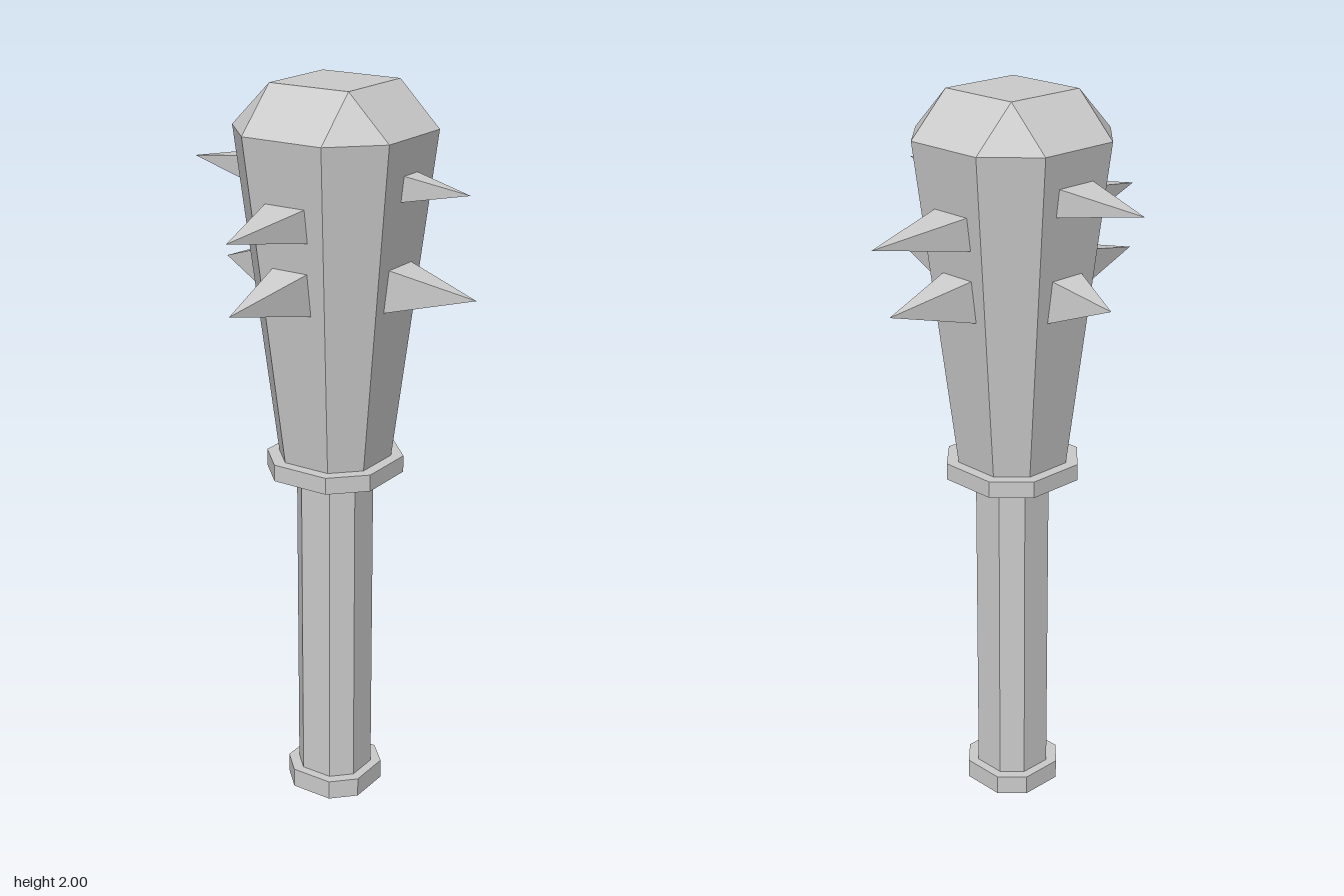
import * as THREE from 'three';

const material = new THREE.MeshStandardMaterial({ color: 0xcccccc, flatShading: true });

// Square with chamfered corners: half width h, half length c of each straight side
function ring([y, h, c]) {
  return [[c, h], [h, c], [h, -c], [c, -h], [-c, -h], [-h, -c], [-h, c], [-c, h]]
    .map(([x, z]) => new THREE.Vector3(x, y, z));
}

// Closed, flat-shaded solid lofted through rings from bottom to top
function loft(name, sections) {
  const rings = sections.map(ring);
  const pos = [];
  const tri = (a, b, c) => {
    if (new THREE.Triangle(a, b, c).getArea() > 1e-7) {
      for (const p of [a, b, c]) pos.push(p.x, p.y, p.z);
    }
  };
  for (let r = 0; r < rings.length - 1; r++) {
    const lo = rings[r], hi = rings[r + 1];
    for (let i = 0; i < 8; i++) {
      const j = (i + 1) % 8;
      tri(lo[i], lo[j], hi[j]);
      tri(lo[i], hi[j], hi[i]);
    }
  }
  const bottom = rings[0], top = rings[rings.length - 1];
  for (let i = 1; i < 7; i++) {
    tri(bottom[0], bottom[i + 1], bottom[i]);
    tri(top[0], top[i], top[i + 1]);
  }
  const geo = new THREE.BufferGeometry();
  geo.setAttribute('position', new THREE.Float32BufferAttribute(pos, 3));
  geo.computeVertexNormals();
  const mesh = new THREE.Mesh(geo, material);
  mesh.name = name;
  return mesh;
}

// Four-sided spike pointing along +z, turned about y; its root is sunk in the head
function spike(name, angle, y, tip, halfW, halfH) {
  const surface = 0.135 + (y - 1) * 0.113;
  const root = surface - 0.03;
  const grow = (tip - root) / (tip - surface);
  const geo = new THREE.ConeGeometry(Math.SQRT2, 1, 4, 1).toNonIndexed();
  geo.rotateY(Math.PI / 4);
  geo.translate(0, 0.5, 0);
  geo.rotateX(Math.PI / 2);
  geo.scale(halfW * grow, halfH * grow, tip - root);
  geo.translate(0, 0, root);
  geo.rotateY(angle);
  geo.computeVertexNormals();
  const mesh = new THREE.Mesh(geo, material);
  mesh.name = name;
  mesh.position.set(Math.abs(Math.sin(angle)) > 0.5 ? 0 : -0.004, y, 0);
  return mesh;
}

export function createModel() {
  const club = new THREE.Group();
  club.name = 'spikedClub';

  // Shaft
  club.add(loft('pommel', [[0, 0.119, 0.06], [0.055, 0.119, 0.06]]));
  club.add(loft('handle', [[0.03, 0.094, 0.045], [0.98, 0.094, 0.045]]));
  club.add(loft('collar', [[0.96, 0.166, 0.082], [1.006, 0.166, 0.082]]));

  // Flared head with a bevelled square crown
  club.add(loft('head', [[0.99, 0.134, 0.067], [1.885, 0.235, 0.1175], [2, 0.1175, 0.1175]]));

  // Spikes: side, turn, height, tip distance from the axis, half width, half height
  const q = Math.PI / 2;
  [
    ['frontUpperSpike', 0, 1.68, 0.453, 0.06, 0.043],
    ['frontLowerSpike', 0, 1.5, 0.448, 0.054, 0.056],
    ['leftUpperSpike', q, 1.76, 0.395, 0.032, 0.033],
    ['leftLowerSpike', q, 1.5, 0.42, 0.054, 0.056],
    ['backUpperSpike', 2 * q, 1.68, 0.472, 0.06, 0.043],
    ['backLowerSpike', 2 * q, 1.5, 0.422, 0.054, 0.056],
    ['rightUpperSpike', -q, 1.76, 0.45, 0.06, 0.036],
    ['rightLowerSpike', -q, 1.5, 0.35, 0.054, 0.056],
  ].forEach((s) => club.add(spike(...s)));

  // Uneven spikes put the shaft slightly off centre
  club.position.set(0.015, 0, 0.007);
  const model = new THREE.Group();
  model.add(club);
  return model;
}
